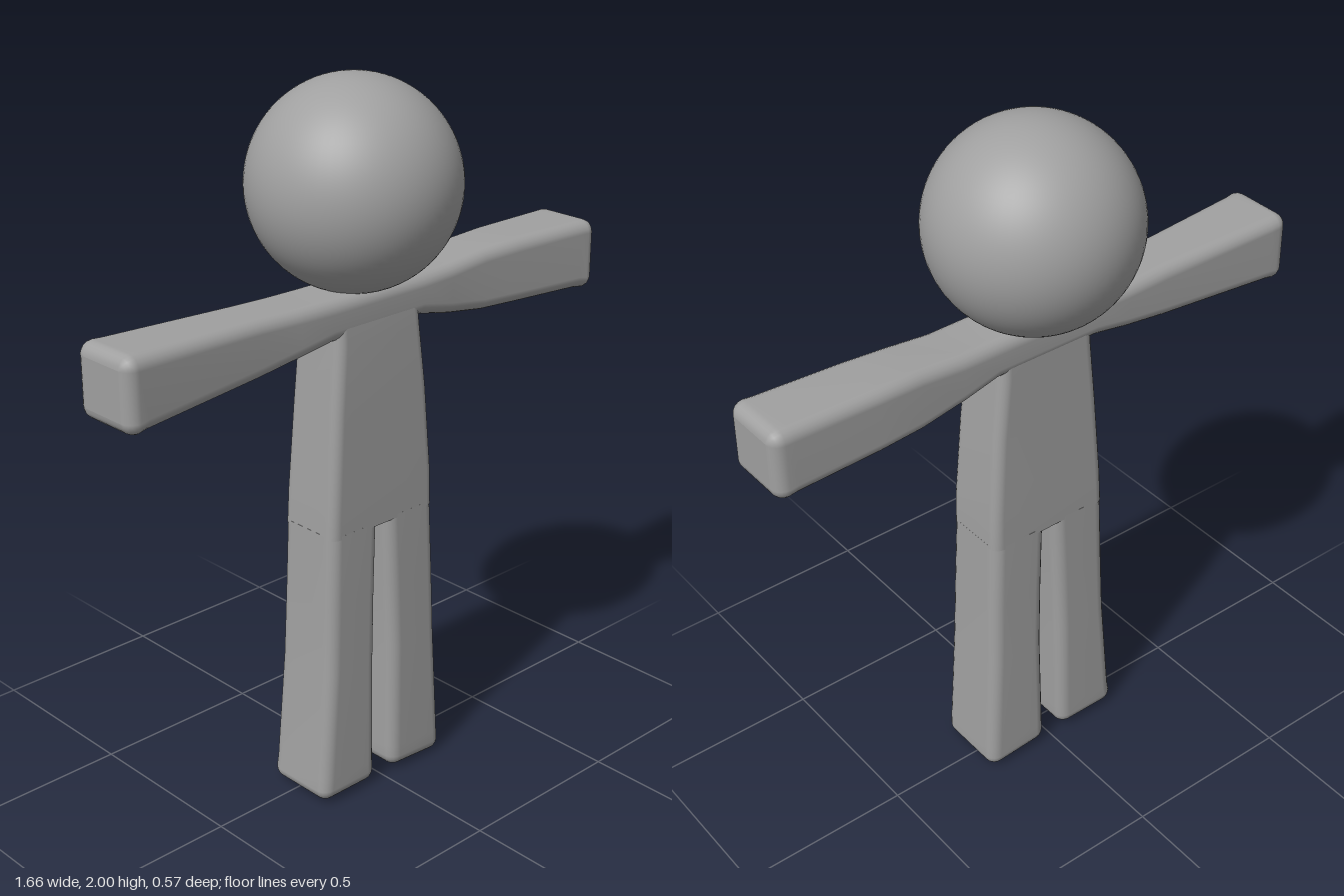
import * as THREE from 'three';

const grey = new THREE.MeshStandardMaterial({ color: 0xa0a0a0 });
grey.name = 'grey';

// Rounded-rectangle ring of 2D points, counter-clockwise
function ring(a0, a1, b0, b1, r) {
  const pts = [], n = 5;
  const corners = [[a1 - r, b1 - r], [a0 + r, b1 - r], [a0 + r, b0 + r], [a1 - r, b0 + r]];
  corners.forEach(([a, b], c) => {
    for (let i = 0; i <= n; i++) {
      const t = (c + i / n) * Math.PI / 2;
      pts.push([a + r * Math.cos(t), b + r * Math.sin(t)]);
    }
  });
  return pts;
}

// Loft through sections [t, a0, a1, b0, b1]; ends may be rounded over
function loft(name, sections, place, radius, roundStart, roundEnd) {
  const rows = [], steps = 5;
  const rounded = ([t, a0, a1, b0, b1], dir) => {
    for (let k = 0; k <= steps; k++) {
      const q = (dir > 0 ? k : steps - k) / steps * Math.PI / 2;
      const inset = radius * (1 - Math.sin(q)) * 0.97;
      rows.push([t + dir * radius * (1 - Math.cos(q)), a0 + inset, a1 - inset, b0 + inset, b1 - inset, radius - inset]);
    }
  };
  sections.forEach((s, i) => {
    if (i === 0 && roundStart) rounded(s, 1);
    else if (i === sections.length - 1 && roundEnd) rounded(s, -1);
    else rows.push([...s, radius]);
  });
  const pos = [], idx = [];
  const rings = rows.map(([t, a0, a1, b0, b1, r]) => ring(a0, a1, b0, b1, r).map(([a, b]) => place(t, a, b)));
  const n = rings[0].length;
  rings.forEach(p => p.forEach(v => pos.push(...v)));
  for (let i = 0; i < rings.length - 1; i++) {
    for (let j = 0; j < n; j++) {
      const a = i * n + j, b = i * n + (j + 1) % n;
      idx.push(a, b, b + n, a, b + n, a + n);
    }
  }
  // Flat end caps with their own vertices
  [rings[0], rings[rings.length - 1]].forEach((p, e) => {
    const base = pos.length / 3;
    p.forEach(v => pos.push(...v));
    for (let j = 1; j < n - 1; j++) {
      if (e) idx.push(base, base + j, base + j + 1);
      else idx.push(base, base + j + 1, base + j);
    }
  });
  const g = new THREE.BufferGeometry();
  g.setAttribute('position', new THREE.Float32BufferAttribute(pos, 3));
  g.setIndex(idx);
  g.computeVertexNormals();
  const mesh = new THREE.Mesh(g, grey);
  mesh.name = name;
  return mesh;
}

const alongX = (t, a, b) => [t, a, b]; // a = y, b = z
// Sections run up y; a = z, b = x. Feet follow a slight slope.
const alongY = (t, a, b) => [b, t, a];
const leftSlope = (t, a, b) => [b, t + Math.max(0, 1 - t / 0.3) * (0.225 - b) * 0.07, a];

export function createModel() {
  const group = new THREE.Group();
  group.name = 'figure';

  // Round head
  const head = new THREE.Mesh(new THREE.SphereGeometry(0.283, 64, 48), grey);
  head.name = 'head';
  head.position.set(0, 1.717, 0);
  group.add(head);

  // Torso
  group.add(loft('torso', [
    [0.8, -0.078, 0.12, -0.19, 0.192],
    [0.9, -0.077, 0.119, -0.185, 0.19],
    [1.15, -0.07, 0.113, -0.168, 0.172],
    [1.33, -0.067, 0.108, -0.152, 0.152],
    [1.42, -0.065, 0.1, -0.148, 0.148],
  ], alongY, 0.03, false, false));

  // Both arms in one beam across the shoulders
  group.add(loft('arms', [
    [-0.83, 1.28, 1.48, -0.08, 0.125],
    [-0.77, 1.284, 1.478, -0.079, 0.122],
    [-0.4, 1.31, 1.466, -0.068, 0.1],
    [-0.27, 1.327, 1.461, -0.069, 0.1],
    [-0.16, 1.345, 1.46, -0.068, 0.104],
    [0.16, 1.345, 1.46, -0.068, 0.104],
    [0.27, 1.32, 1.462, -0.071, 0.1],
    [0.4, 1.3, 1.475, -0.076, 0.1],
    [0.53, 1.294, 1.479, -0.081, 0.108],
    [0.77, 1.284, 1.48, -0.08, 0.121],
    [0.83, 1.28, 1.48, -0.08, 0.125],
  ], alongX, 0.035, true, true));

  // Legs widen toward the feet
  group.add(loft('leftLeg', [
    [0, -0.092, 0.132, 0.024, 0.226],
    [0.07, -0.091, 0.132, 0.024, 0.224],
    [0.4, -0.085, 0.127, 0.028, 0.207],
    [0.6, -0.081, 0.124, 0.022, 0.2],
    [0.81, -0.078, 0.12, 0.014, 0.192],
  ], leftSlope, 0.035, true, false));
  group.add(loft('rightLeg', [
    [0.01, -0.088, 0.132, -0.237, -0.034],
    [0.08, -0.087, 0.131, -0.232, -0.034],
    [0.4, -0.083, 0.127, -0.206, -0.03],
    [0.6, -0.08, 0.124, -0.198, -0.024],
    [0.81, -0.078, 0.12, -0.19, -0.014],
  ], alongY, 0.035, true, false));

  return group;
}
